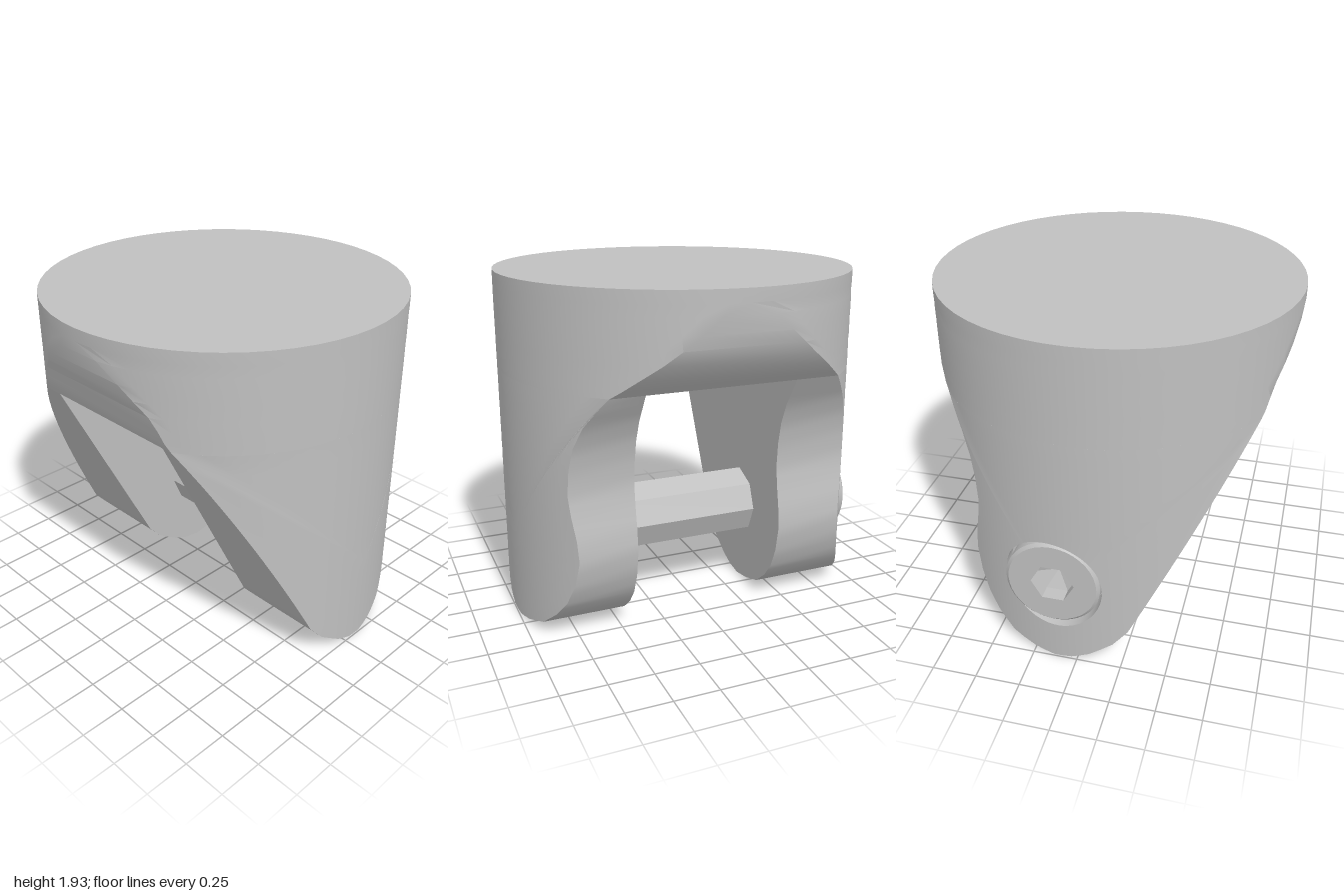
import * as THREE from 'three';
import { toCreasedNormals } from 'three/addons/utils/BufferGeometryUtils.js';

const TOP = 1.93, ROOF = 1.4;      // top of the crown, roof of the slot
const CX = 0.13, CY = 0.505;       // axis of the cross pin
const surf = x => Math.sqrt(Math.max(0, 1 - x * x));

// Skin a list of closed rings (arrays of [x, y, z])
function skin(rings, crease) {
  const pos = [];
  const tri = (...p) => {
    const [a, b, c] = p.map(v => new THREE.Vector3(...v));
    if (b.clone().sub(a).cross(c.clone().sub(a)).length() > 1e-8) p.forEach(v => pos.push(...v));
  };
  for (let k = 0; k + 1 < rings.length; k++) {
    const A = rings[k], B = rings[k + 1], n = A.length;
    for (let i = 0; i < n; i++) {
      const j = (i + 1) % n;
      tri(A[i], B[i], B[j]);
      tri(A[i], B[j], A[j]);
    }
  }
  const g = new THREE.BufferGeometry();
  g.setAttribute('position', new THREE.Float32BufferAttribute(pos, 3));
  return toCreasedNormals(g, crease);
}

// Leg outline, anticlockwise from the upper left, down and round to the upper right
function legOutline() {
  const key = [
    [-0.86, ROOF], [-0.28, 0.23], [-0.2, 0.14], [-0.07, 0.055], [0.03, 0.015], [0.13, 0],
    [0.25, 0.02], [0.39, 0.065], [0.49, 0.15], [0.56, 0.24], [0.61, 0.36], [0.635, 0.5],
    [0.625, 0.62], [0.6, 0.75], [0.585, 0.86], [0.595, 1.0], [0.62, 1.12], [0.67, 1.24], [0.77, ROOF],
  ];
  const out = [];
  key.forEach(([x, y], i) => {
    const [u, v] = key[(i + 1) % key.length];
    const n = Math.ceil(Math.hypot(u - x, v - y) / 0.09);
    for (let s = 0; s < n; s++) out.push([x + (u - x) * s / n, y + (v - y) * s / n]);
  });
  return out;
}

// Leg: round outer face, optional counterbore, flat inner face
function legGeometry(side, inner, hole, floor) {
  const outline = legOutline();
  if (side < 0) outline.reverse();
  const ring = (r0, t, z) => outline.map(([x, y]) => {
    const dx = x - CX, dy = y - CY, d = Math.hypot(dx, dy);
    const r = r0 + t * (d - r0);
    const px = CX + dx / d * r;
    return [px, CY + dy / d * r, side * (z ?? surf(px))];
  });
  const rings = [];
  if (hole) rings.push(ring(0, 0, floor), ring(hole, 0, floor));
  for (let k = 0; k <= 8; k++) rings.push(ring(hole, k / 8));
  rings.push(ring(0, 1, inner), ring(0, 0, inner));
  return skin(rings, 0.55);
}

// Crown: round block whose two sides are trimmed toward the legs
function crownGeometry() {
  const rows = [
    [ROOF, -0.86, 0.77], [1.44, -0.875, 0.81], [1.5, -0.89, 0.86], [1.57, -0.91, 0.91],
    [1.64, -0.94, 0.945], [1.71, -0.965, 0.97], [1.8, -0.99, 0.99], [1.86, -1, 1], [TOP, -1, 1],
  ];
  const N = 28;
  const rings = rows.map(([y, l, r]) => {
    const front = [];
    for (let i = 0; i <= N; i++) {
      const x = Math.sin(THREE.MathUtils.lerp(Math.asin(r), Math.asin(l), i / N));
      front.push([x, y, surf(x)]);
    }
    return [...front, ...front.slice().reverse().map(([x, , z]) => [x, y, -z])];
  });
  const centre = y => rings[0].map(() => [0, y, 0]);
  return skin([centre(ROOF), ...rings, centre(TOP)], 0.55);
}

// Screw head with a tapered hexagonal socket, facing the back
function headGeometry() {
  const N = 36;
  const hex = a => 0.12 * Math.cos(Math.PI / 6) / Math.cos((a % (Math.PI / 3)) - Math.PI / 6);
  const ring = (r, z) => Array.from({ length: N }, (_, i) => {
    const a = (N - 1 - i) / N * Math.PI * 2;
    const q = typeof r === 'function' ? r(a) : r;
    return [CX + q * Math.cos(a), CY + q * Math.sin(a), z];
  });
  return skin([
    ring(0, -0.85), ring(hex, -0.9), ring(hex, -0.98),
    ring(0.245, -0.98), ring(0.262, -0.965), ring(0.262, -0.82),
  ], 0.4);
}

export function createModel() {
  const group = new THREE.Group();
  const metal = new THREE.MeshStandardMaterial({ color: 0xc0c0c0 });
  metal.name = 'grey metal';
  const add = (name, geometry) => {
    const mesh = new THREE.Mesh(geometry, metal);
    mesh.name = name;
    group.add(mesh);
    return mesh;
  };

  add('crown', crownGeometry());
  add('frontLeg', legGeometry(1, 0.45, 0, 0));
  add('backLeg', legGeometry(-1, 0.39, 0.278, 0.83));
  add('screwHead', headGeometry());

  // Faceted pin across the slot
  const pin = new THREE.CylinderGeometry(0.197, 0.197, 0.88, 8).rotateX(Math.PI / 2);
  add('crossPin', toCreasedNormals(pin, 0.3)).position.set(CX, CY, 0.03);

  return group;
}
